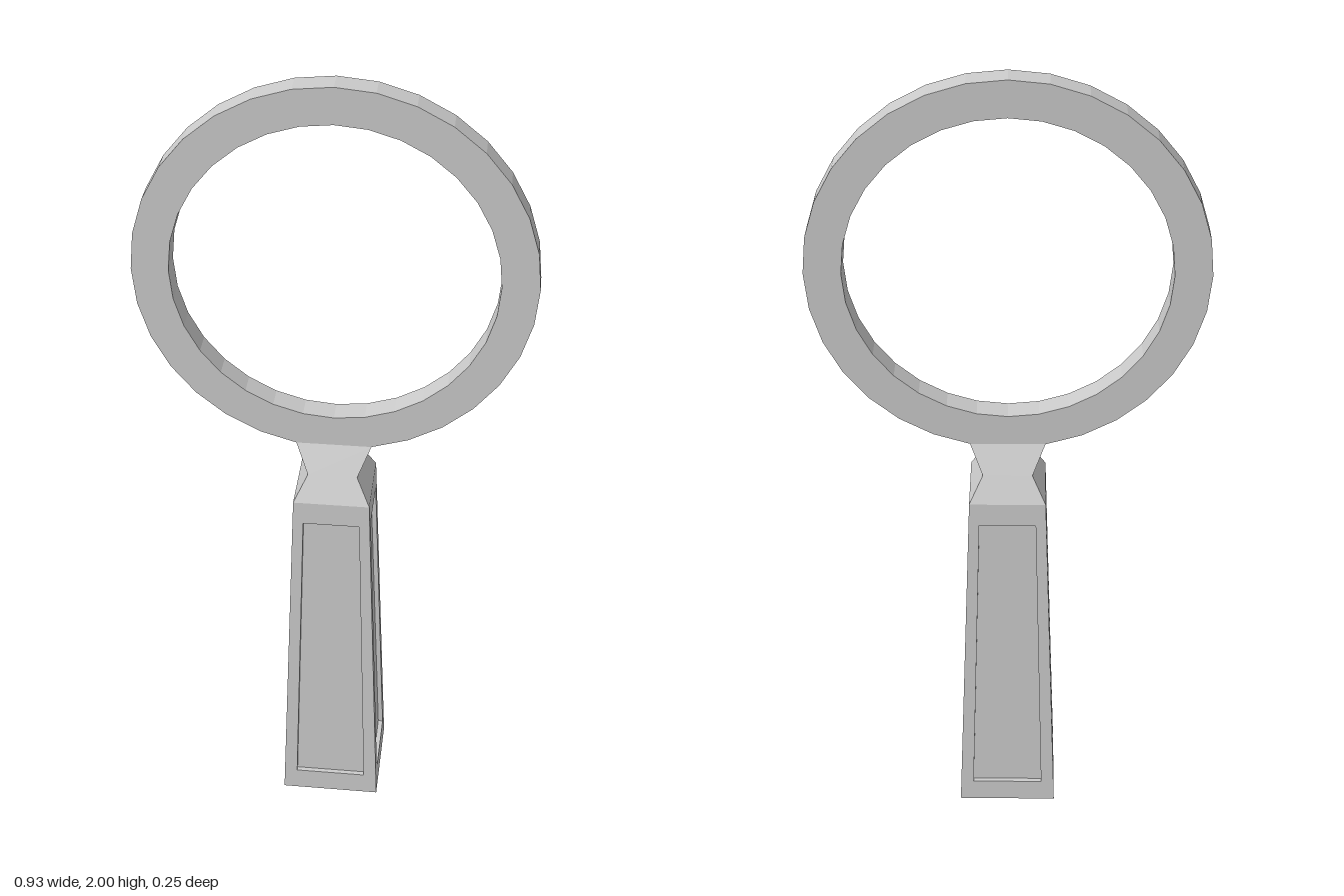
import * as THREE from 'three';

const material = new THREE.MeshStandardMaterial({ color: 0xcccccc, flatShading: true });

// Builds a flat-shaded mesh from quads, corners counter-clockwise from outside
function quadMesh(name, quads) {
  const positions = quads.flatMap(([a, b, c, d]) => [a, b, c, a, c, d].flat());
  const geometry = new THREE.BufferGeometry();
  geometry.setAttribute('position', new THREE.Float32BufferAttribute(positions, 3));
  geometry.computeVertexNormals();
  const mesh = new THREE.Mesh(geometry, material);
  mesh.name = name;
  return mesh;
}

// Quads joining two loops of four corners
const bridge = (lower, upper) => lower.map((p, i) => {
  const j = (i + 1) % 4;
  return [p, lower[j], upper[j], upper[i]];
});

// Horizontal rectangle, counter-clockwise from above
const rectangle = (y, x, z) => [[-x, y, z], [x, y, z], [x, y, -z], [-x, y, -z]];

const HANDLE_TOP = 0.94;
const halfWidth = (y) => 0.125 - 0.034 * y;

// One tapered handle side with a sunken panel
function handleSide() {
  const loop = (y0, y1, x0, x1, depth) => [
    [-x0, y0, halfWidth(y0) - depth], [x0, y0, halfWidth(y0) - depth],
    [x1, y1, halfWidth(y1) - depth], [-x1, y1, halfWidth(y1) - depth],
  ];
  const outline = loop(0, HANDLE_TOP, halfWidth(0), halfWidth(HANDLE_TOP), 0);
  const rim = loop(0.06, 0.88, 0.09, 0.069, 0);
  const floor = loop(0.06, 0.88, 0.09, 0.069, 0.012);
  return quadMesh('handleSide', [...bridge(outline, rim), ...bridge(rim, floor), floor]);
}

export function createModel() {
  const model = new THREE.Group();
  model.name = 'handheldRing';

  // Square tapered handle
  const handle = new THREE.Group();
  handle.name = 'handle';
  for (let i = 0; i < 4; i++) {
    const side = handleSide();
    side.rotation.y = i * Math.PI / 2;
    handle.add(side);
  }
  const w = halfWidth(0);
  handle.add(quadMesh('handleBase', [rectangle(0, w, w).reverse()]));
  model.add(handle);

  // Pinched neck, flaring sideways into the ring
  const top = halfWidth(HANDLE_TOP);
  const sections = [
    rectangle(HANDLE_TOP, top, top),
    rectangle(1.005, 0.06, 0.063),
    rectangle(1.075, 0.091, 0.03),
  ];
  model.add(quadMesh('neck', [
    ...bridge(sections[0], sections[1]),
    ...bridge(sections[1], sections[2]),
    sections[2],
  ]));

  // Open ring with a rectangular section
  const profile = [[0.38, -0.03], [0.467, -0.03], [0.467, 0.03], [0.38, 0.03], [0.38, -0.03]]
    .map(([x, y]) => new THREE.Vector2(x, y));
  const ring = new THREE.Mesh(new THREE.LatheGeometry(profile, 32), material);
  ring.name = 'ring';
  ring.rotation.x = Math.PI / 2;
  ring.position.y = 1.533;
  model.add(ring);

  return model;
}
